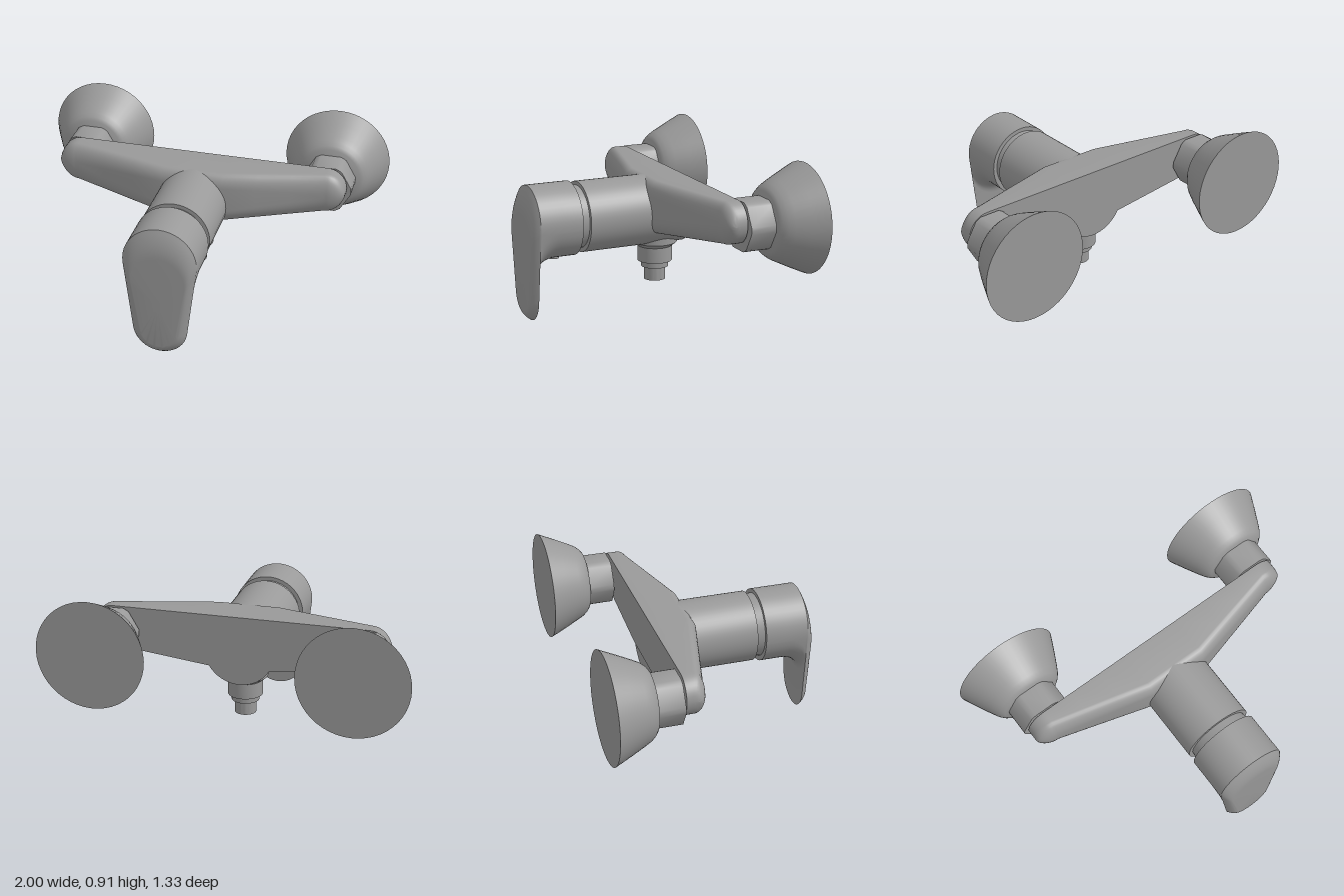
import * as THREE from 'three';
import { toCreasedNormals } from 'three/addons/utils/BufferGeometryUtils.js';

const V = (x, y, z) => new THREE.Vector3(x, y, z);

function part(name, geometry, x = 0, y = 0, z = 0) {
  const material = new THREE.MeshStandardMaterial({ color: 0x999999 });
  const mesh = new THREE.Mesh(toCreasedNormals(geometry, 0.7), material);
  mesh.name = name;
  mesh.position.set(x, y, z);
  return mesh;
}

// Turned solid from [radius, height] pairs listed from low to high
const turned = (pairs) =>
  new THREE.LatheGeometry(pairs.map(([r, h]) => new THREE.Vector2(r, h)), 48);
const turnedZ = (pairs) => turned(pairs).rotateX(Math.PI / 2);

// Closed loops joined in order, with a cap at both ends
function loft(rings) {
  const n = rings[0].length, pos = [], idx = [];
  rings.forEach((ring) => ring.forEach((p) => pos.push(p.x, p.y, p.z)));
  for (let i = 0; i < rings.length - 1; i++) {
    for (let j = 0; j < n; j++) {
      const k = (j + 1) % n;
      const a = i * n + j, b = i * n + k, c = a + n, d = b + n;
      idx.push(a, b, d, a, d, c);
    }
  }
  [0, rings.length - 1].forEach((i) => {
    const centre = V(0, 0, 0);
    rings[i].forEach((p) => centre.addScaledVector(p, 1 / n));
    const m = pos.length / 3;
    pos.push(centre.x, centre.y, centre.z);
    for (let j = 0; j < n; j++) {
      const a = i * n + j, b = i * n + ((j + 1) % n);
      if (i === 0) idx.push(m, b, a);
      else idx.push(m, a, b);
    }
  });
  const g = new THREE.BufferGeometry();
  g.setAttribute('position', new THREE.Float32BufferAttribute(pos, 3));
  g.setIndex(idx);
  return g;
}

// Teardrop outline: a big upper circle joined by tangents to a lower one.
// t = 0 is the full lever, t near 1 shrinks to the round head.
function leverRing(z, t, inset, drop) {
  const ring = [], n = 24;
  const r1 = 0.2 - inset, c1 = 0.55 - drop;
  const r2 = 0.15 + 0.05 * t - inset, c2 = 0.15 + 0.4 * t;
  const tilt = Math.asin((r1 - r2) / (c1 - c2));
  for (let i = 0; i <= n; i++) {
    const a = -tilt + (i / n) * (Math.PI + 2 * tilt);
    ring.push(V(r1 * Math.cos(a), c1 + r1 * Math.sin(a), z));
  }
  for (let i = 0; i <= n; i++) {
    const a = Math.PI + tilt + (i / n) * (Math.PI - 2 * tilt);
    ring.push(V(r2 * Math.cos(a), c2 + r2 * Math.sin(a), z));
  }
  return ring;
}

function leverGeometry() {
  const rings = [leverRing(0.38, 0.98, 0, 0), leverRing(0.5, 0.98, 0, 0)];
  // fillet under the head
  for (let i = 1; i <= 8; i++) {
    const a = (i / 8) * Math.PI / 2;
    rings.push(leverRing(0.5 + 0.122 * Math.sin(a), 0.7 + 0.28 * Math.cos(a), 0, 0));
  }
  // thin blade whose front slopes in from the rim and flattens out
  rings.push(leverRing(0.622, 0, 0, 0));
  for (let i = 1; i <= 8; i++) {
    const s = i / 8;
    rings.push(leverRing(0.622 + 0.041 * (1 - (1 - s) ** 2), 0, 0.055 * s, 0.1 * s));
  }
  return loft(rings);
}

// Section of the cross bar: flat back, rounded front corners
function barRing(x) {
  const ax = Math.abs(x), back = -0.27, top = 0.743;
  const u = Math.max(0, (ax - 0.71) / 0.11);
  const round = Math.sqrt(Math.max(0.002, 1 - u * u));
  const run = Math.min(Math.max(ax, 0.17), 0.71);
  const bottom = 0.43 + 0.12 * run;
  const mid = (top + bottom) / 2, h = ((top - bottom) / 2) * round;
  const depth = (0.253 - 0.245 * (run - 0.17)) * (u > 0 ? 0.55 + 0.45 * round : 1);
  const ry = Math.min(h, 0.075 + 0.05 * (run - 0.17)), rz = Math.min(0.055, depth * 0.55);
  const ring = [V(x, mid - h, back), V(x, mid + h, back)];
  for (let i = 0; i <= 17; i++) {
    const upper = i <= 8;
    const a = ((upper ? i : i - 1) / 16) * Math.PI;
    const side = upper ? 1 : -1;
    ring.push(V(x, mid + side * (h - ry) + ry * Math.cos(a),
      back + depth - rz + rz * Math.sin(a)));
  }
  return ring;
}

function barGeometry() {
  const half = [0.17, 0.35, 0.53, 0.71];
  for (let i = 1; i <= 10; i++) half.push(0.71 + 0.11 * Math.sin((i / 10) * Math.PI / 2));
  const xs = [...half.map((x) => -x).reverse(), ...half];
  return loft(xs.map(barRing));
}

// Hexagon nut with its corners turned off to a circle
function nutGeometry() {
  const flat = 0.132, r = 0.143, points = [];
  const cut = Math.PI / 6 - Math.acos(flat / r);
  for (let i = 0; i < 6; i++) {
    const corner = (i * Math.PI) / 3;
    for (const a of [corner - cut, corner, corner + cut]) {
      points.push(new THREE.Vector2(r * Math.cos(a), r * Math.sin(a)));
    }
  }
  return new THREE.ExtrudeGeometry(new THREE.Shape(points), { depth: 0.15, bevelEnabled: false });
}

export function createModel() {
  const model = new THREE.Group();
  model.name = 'wallMixerTap';

  // Central body and the neck behind the handle
  model.add(part('body', turnedZ([[0, -0.267], [0.195, -0.267], [0.195, 0.333], [0, 0.333]]), 0, 0.548, 0));
  model.add(part('neck', turnedZ([[0.17, 0.32], [0.179, 0.39]]), 0, 0.55, 0));

  // Cross bar and handle
  model.add(part('crossBar', barGeometry()));
  model.add(part('leverHandle', leverGeometry()));
  model.add(part('handleScrewPlug', new THREE.CylinderGeometry(0.03, 0.03, 0.04, 24), 0, 0.352, 0.478));

  // Stepped hose outlet under the body
  model.add(part('hoseOutlet', turned([
    [0, 0.14], [0.06, 0.14], [0.06, 0.215], [0.077, 0.215], [0.077, 0.25],
    [0.097, 0.25], [0.097, 0.337], [0.125, 0.36], [0.125, 0.42],
  ]), 0, 0, -0.129));

  // Wall connections on both sides
  for (const side of [-1, 1]) {
    const connection = new THREE.Group();
    connection.name = side > 0 ? 'leftWallConnection' : 'rightWallConnection';
    connection.position.set(side * 0.7, 0.605, 0);
    connection.add(part('wallCover', turnedZ([
      [0, -0.662], [0.3, -0.662], [0.258, -0.57], [0.222, -0.495],
      [0.205, -0.463], [0.187, -0.44], [0.168, -0.425], [0, -0.425],
    ])));
    connection.add(part('unionNut', nutGeometry(), 0, 0, -0.43));
    connection.add(part('connector', turnedZ([[0.065, -0.29], [0.065, -0.26]])));
    model.add(connection);
  }
  return model;
}
